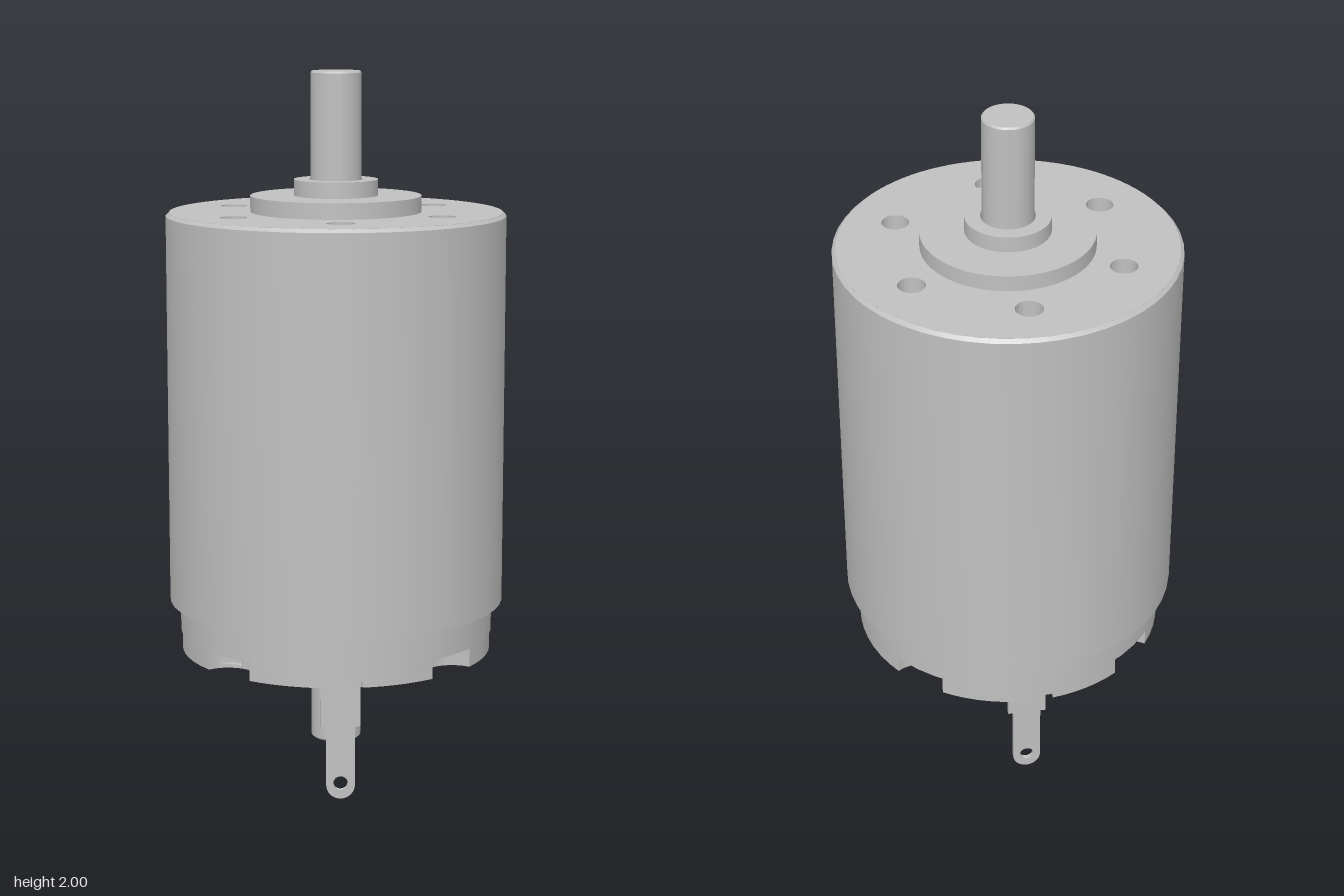
import * as THREE from 'three';
import { toCreasedNormals } from 'three/addons/utils/BufferGeometryUtils.js';

const SEG = 48;
const metal = new THREE.MeshStandardMaterial({ color: 0xc0c0c0 });
metal.name = 'grey metal';

function add(parent, name, geometry) {
  const mesh = new THREE.Mesh(geometry, metal);
  mesh.name = name;
  parent.add(mesh);
  return mesh;
}

// Turned part: profile of [radius, height], listed from bottom to top
function turned(profile) {
  const points = profile.map(([r, y]) => new THREE.Vector2(r, y));
  return toCreasedNormals(new THREE.LatheGeometry(points, SEG), 0.5);
}

// Plate: outline in plan, raised from y0 to y1
function plate(shape, y0, y1) {
  const g = new THREE.ExtrudeGeometry(shape, { depth: y1 - y0, bevelEnabled: false, curveSegments: SEG });
  g.rotateX(-Math.PI / 2);
  g.translate(0, y0, 0);
  return toCreasedNormals(g, 0.5);
}

function punch(shape, x, y, r) {
  const hole = new THREE.Path();
  hole.absarc(x, y, r, 0, Math.PI * 2, true);
  shape.holes.push(hole);
}

// End cap outline: round, with four scalloped rim notches and optional terminal channels
function capShape(R, channels) {
  const pts = [];
  const notchR = 0.08;
  const half = { notch: 2 * Math.asin(notchR / 2 / R), channel: Math.asin(0.055 / R), none: 0 };
  const kind = k => (k % 2 ? 'notch' : channels && k % 4 === 2 ? 'channel' : 'none');
  for (let k = 0; k < 8; k++) {
    const a = k * Math.PI / 4, type = kind(k), h = half[type];
    const c = Math.cos(a), s = Math.sin(a);
    if (type === 'notch') {
      const t0 = Math.PI / 2 + h / 2;
      for (let i = 0; i <= 12; i++) {
        const t = -t0 - (2 * Math.PI - 2 * t0) * i / 12;
        pts.push(new THREE.Vector2(R * c + notchR * Math.cos(a + t), R * s + notchR * Math.sin(a + t)));
      }
    } else if (type === 'channel') {
      const outer = R * Math.cos(h);
      for (const [r, w] of [[outer, -0.055], [0.31, -0.055], [0.31, 0.055], [outer, 0.055]])
        pts.push(new THREE.Vector2(r * c - w * s, r * s + w * c));
    } else pts.push(new THREE.Vector2(R * c, R * s));
    // rim arc up to the next feature
    const from = a + h, to = a + Math.PI / 4 - half[kind((k + 1) % 8)];
    for (let i = 1; i < 6; i++) {
      const t = from + (to - from) * i / 6;
      pts.push(new THREE.Vector2(R * Math.cos(t), R * Math.sin(t)));
    }
  }
  const shape = new THREE.Shape(pts);
  for (const sign of [1, -1])
    for (const [x, z] of [[0.22, 0.335], [0.25, -0.115], [0.25, -0.25]])
      punch(shape, sign * x, -sign * z, 0.022);
  return shape;
}

// Solder tab: wide shoulder, narrow blade with a rounded, pierced tip
function terminalGeometry() {
  const s = new THREE.Shape();
  s.moveTo(-0.055, 0.37);
  s.lineTo(-0.055, 0.21);
  s.lineTo(-0.04, 0.21);
  s.lineTo(-0.04, 0.04);
  s.absarc(0, 0.04, 0.04, Math.PI, Math.PI * 2, false);
  s.lineTo(0.04, 0.21);
  s.lineTo(0.055, 0.21);
  s.lineTo(0.055, 0.37);
  s.closePath();
  punch(s, 0, 0.045, 0.02);
  const g = new THREE.ExtrudeGeometry(s, { depth: 0.014, bevelEnabled: false, curveSegments: 16 });
  g.translate(0, 0, -0.007);
  return toCreasedNormals(g, 0.5);
}

export function createModel() {
  const model = new THREE.Group();
  model.name = 'electricMotor';

  // Can with a chamfered top edge
  const can = new THREE.Group();
  can.name = 'can';
  model.add(can);
  add(can, 'canWall', turned([[0.43, 0.5], [0.477, 0.5], [0.477, 1.6], [0.467, 1.61]]));

  // Top face with six blind mounting holes
  const face = new THREE.Shape();
  face.absarc(0, 0, 0.467, 0, Math.PI * 2, false);
  for (let i = 0; i < 6; i++) {
    const a = Math.PI / 2 + i * Math.PI / 3;
    punch(face, 0.33 * Math.cos(a), 0.33 * Math.sin(a), 0.038);
  }
  add(can, 'mountingFace', plate(face, 1.53, 1.61));
  const floor = new THREE.CylinderGeometry(0.46, 0.46, 0.02, SEG);
  floor.translate(0, 1.52, 0);
  add(can, 'holeFloor', floor);

  // Front boss and bearing with a small clearance around the shaft
  add(model, 'frontBoss', turned([[0.24, 1.61], [0.24, 1.655], [0.11, 1.655]]));
  add(model, 'frontBearing', turned([[0.118, 1.65], [0.118, 1.7], [0.075, 1.7], [0.075, 1.62], [0.06, 1.62]]));

  // Shaft running through the motor
  add(model, 'shaft', turned([[0, 0.08], [0.066, 0.08], [0.071, 0.085], [0.071, 1.995], [0.067, 2], [0, 2]]));

  // End cap in three layers: solid ring, notched layer, notched layer with channels
  const cap = new THREE.Group();
  cap.name = 'endCap';
  model.add(cap);
  const ring = new THREE.CylinderGeometry(0.447, 0.447, 0.1, SEG);
  ring.translate(0, 0.46, 0);
  add(cap, 'capRing', ring);
  add(cap, 'capNotchedLayer', plate(capShape(0.443, false), 0.37, 0.41));
  add(cap, 'capBase', plate(capShape(0.443, true), 0.355, 0.37));

  // Rear boss and bearing
  add(model, 'rearBoss', turned([[0.1, 0.31], [0.185, 0.31], [0.195, 0.32], [0.195, 0.355]]));
  add(model, 'rearBearing', turned([[0.06, 0.25], [0.115, 0.25], [0.115, 0.315]]));

  // Pair of solder terminals
  const tab = terminalGeometry();
  for (const side of [1, -1]) {
    const terminal = add(model, side > 0 ? 'frontTerminal' : 'backTerminal', tab);
    terminal.position.z = side * 0.322;
  }
  return model;
}
